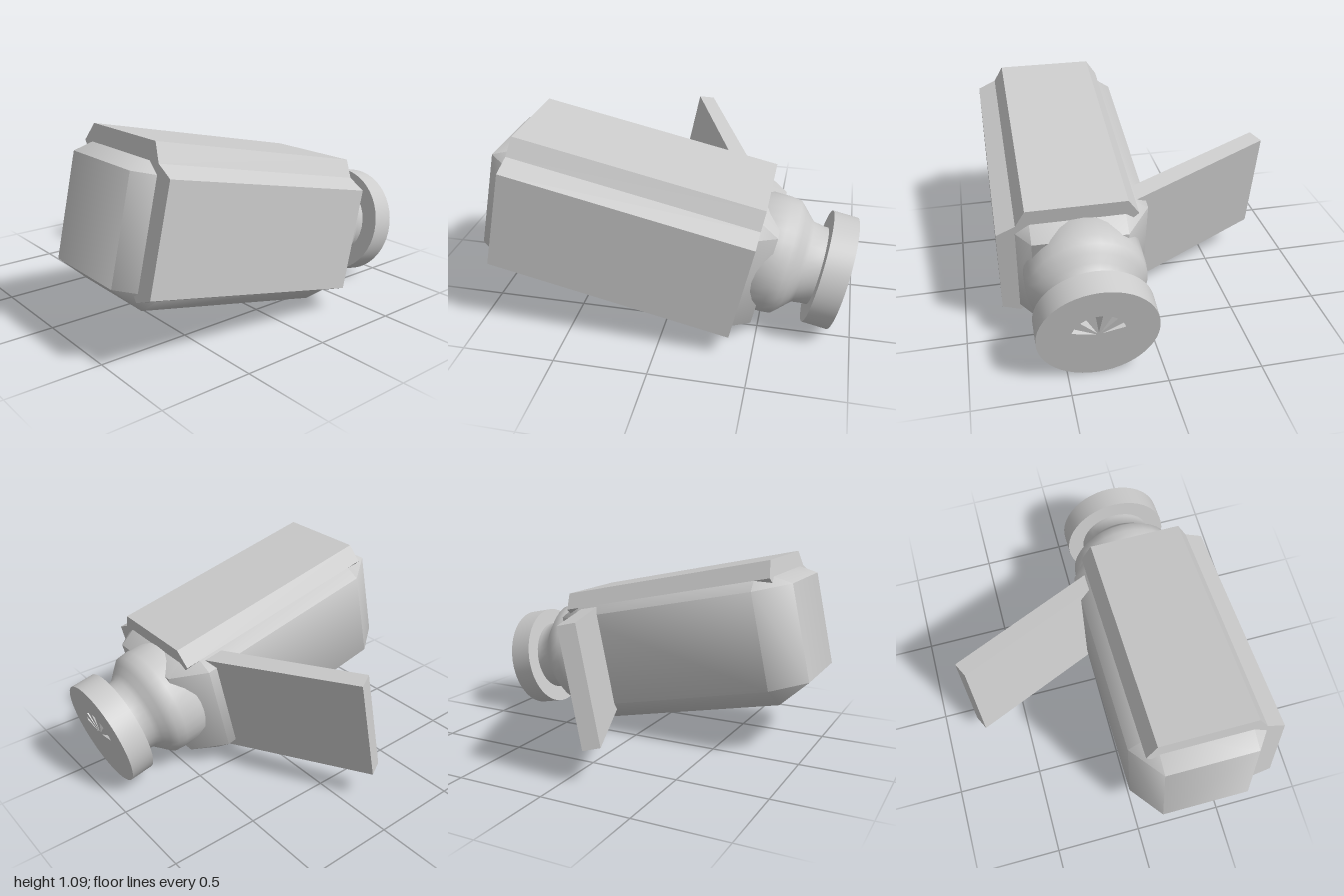
import * as THREE from 'three';
import { ConvexGeometry } from 'three/addons/geometries/ConvexGeometry.js';
import { toCreasedNormals } from 'three/addons/utils/BufferGeometryUtils.js';

const material = new THREE.MeshStandardMaterial({ color: 0xcccccc });
const TILT = THREE.MathUtils.degToRad(12.3);

function shapeOf(points) {
  return new THREE.Shape(points.map(([x, y]) => new THREE.Vector2(x, y)));
}

function extrude(shape, depth) {
  return new THREE.ExtrudeGeometry(shape, { depth, bevelEnabled: false, curveSegments: 24 });
}

// Box with every edge and corner cut; each face is inset from its neighbours
function chamferedBox(outerMin, outerMax, innerMin, innerMax) {
  const points = [];
  for (let axis = 0; axis < 3; axis++) {
    for (let corner = 0; corner < 8; corner++) {
      const p = [0, 1, 2].map((i) => {
        const high = (corner >> i) & 1;
        if (i === axis) return high ? outerMax[i] : outerMin[i];
        return high ? innerMax[i] : innerMin[i];
      });
      points.push(new THREE.Vector3(...p));
    }
  }
  return new ConvexGeometry(points);
}

export function createModel() {
  // Everything is built level, then the whole body is tipped nose up
  const model = new THREE.Group();
  const body = new THREE.Group();
  body.name = 'tiltedBody';
  body.rotation.x = -TILT;
  model.add(body);

  const add = (name, geometry) => {
    const mesh = new THREE.Mesh(geometry, material);
    mesh.name = name;
    body.add(mesh);
    return mesh;
  };

  // Main case with chamfered edges
  const core = chamferedBox(
    [-0.02, 0.097, -0.44], [0.76, 0.862, 1.073],
    [0.12, 0.21, -0.26], [0.62, 0.76, 0.883],
  );
  add('caseCore', toCreasedNormals(core, 0.95));

  // Raised cover over the top and left side, stepped out from the case
  const cover = extrude(shapeOf([
    [0.11, 0.904], [0.05, 0.811], [0.69, 0.166], [0.79, 0.208],
    [0.79, 0.761], [0.69, 0.811], [0.64, 0.904],
  ]), 1.32);
  cover.translate(0, 0, -0.345);
  add('raisedCover', cover);

  // Side panel swung out from the right
  const panel = extrude(shapeOf([
    [-0.79, -0.152], [-0.75, -0.237], [0.04, 0.123], [0.04, 0.235],
  ]), 0.642);
  panel.rotateX(-Math.PI / 2);
  panel.translate(0, 0.16, 0);
  add('sidePanel', panel);

  // Round rear neck, turned about the long axis
  const profile = [
    [0.216, -0.72], [0.216, -0.685], [0.226, -0.62], [0.25, -0.595], [0.285, -0.56],
    [0.318, -0.525], [0.324, -0.47], [0.324, -0.34], [0.25, -0.26], [0, -0.26],
  ].map(([r, y]) => new THREE.Vector2(r, y));
  const neck = new THREE.LatheGeometry(profile, 32);
  neck.rotateX(Math.PI / 2);
  add('rearNeck', toCreasedNormals(neck, 0.8)).position.set(0.345, 0.498, 0);

  // Rear cap with a fan of wedge-shaped slots
  const disc = new THREE.Shape();
  disc.absarc(0, 0, 0.312, 0, Math.PI * 2, false);
  for (let i = -2; i <= 2; i++) {
    const angle = Math.PI / 2 + i * 0.6;
    const at = (r, a) => new THREE.Vector2(r * Math.cos(a), r * Math.sin(a));
    disc.holes.push(new THREE.Path([at(0.015, angle), at(0.14, angle + 0.13), at(0.14, angle - 0.13)]));
  }
  const cap = extrude(disc, 0.137);
  cap.translate(0, 0, -0.84);
  add('rearCap', toCreasedNormals(cap, 0.6)).position.set(0.345, 0.498, 0);

  return model;
}
